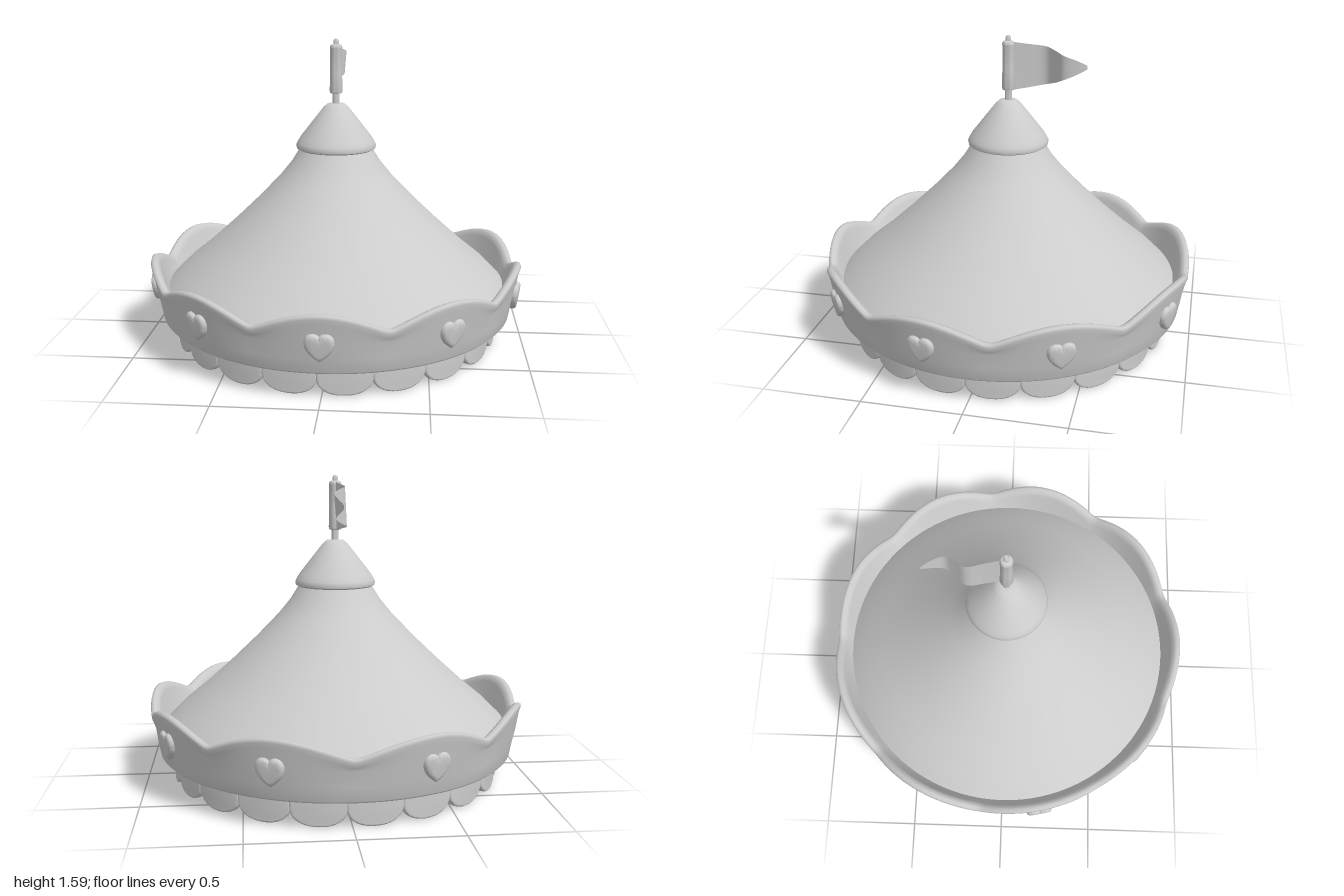
import * as THREE from 'three';
import { toCreasedNormals } from 'three/addons/utils/BufferGeometryUtils.js';

const plaster = new THREE.MeshStandardMaterial({ color: 0xcccccc, side: THREE.DoubleSide });
plaster.name = 'light grey plaster';

function add(parent, name, geometry) {
  const mesh = new THREE.Mesh(geometry, plaster);
  mesh.name = name;
  parent.add(mesh);
  return mesh;
}

const rad = THREE.MathUtils.degToRad;

// Smooth surface of revolution from [radius, height] pairs, bottom to top
function lathe(points, segments = 96, crease = 0.7) {
  const profile = points.map(([r, y]) => new THREE.Vector2(r, y));
  return toCreasedNormals(new THREE.LatheGeometry(profile, segments), crease);
}

// Flaring crown band whose top edge waves up and down in nine arcs
const peaks = [0, 38.5, 77.5, 117, 157, 203, 243, 282.5, 321.5, 360];
function bandGeometry() {
  const columns = 270, position = [], index = [];
  let count = 0;
  for (let i = 0; i < columns; i++) {
    const deg = (i / columns) * 360;
    const k = peaks.findIndex((p) => p > deg) - 1;
    const t = (deg - peaks[k]) / (peaks[k + 1] - peaks[k]);
    const arch = Math.sqrt(Math.cos(Math.PI * t) ** 2 + 0.008);
    const h = 0.362 + 0.095 * arch;
    const out = 0.016 * (arch - 0.6);
    const section = [
      [0.84, 0.165], [0.905, 0.152], [0.92, 0.15], [0.932, 0.162], [0.945, 0.23],
      [0.96 + out * 0.6, 0.31], [0.973 + out, h - 0.045], [0.982 + out, h - 0.02],
      [0.978 + out, h - 0.004], [0.962 + out, h], [0.943 + out, h - 0.008],
      [0.93 + out, h - 0.035], [0.9, 0.3], [0.87, 0.24],
    ];
    count = section.length;
    const a = rad(deg);
    for (const [r, y] of section) position.push(r * Math.sin(a), y, r * Math.cos(a));
    const next = (i + 1) % columns;
    for (let j = 0; j < count; j++) {
      const j2 = (j + 1) % count;
      const a0 = i * count + j, a1 = i * count + j2;
      const b0 = next * count + j, b1 = next * count + j2;
      index.push(a0, b0, b1, a0, b1, a1);
    }
  }
  const g = new THREE.BufferGeometry();
  g.setAttribute('position', new THREE.Float32BufferAttribute(position, 3));
  g.setIndex(index);
  g.computeVertexNormals();
  return g;
}

// Puffy heart, centred, facing +z
function heartGeometry() {
  const s = new THREE.Shape();
  s.moveTo(0, -0.062);
  s.bezierCurveTo(-0.025, -0.045, -0.06, -0.015, -0.06, 0.02);
  s.bezierCurveTo(-0.06, 0.065, -0.012, 0.068, 0, 0.035);
  s.bezierCurveTo(0.012, 0.068, 0.06, 0.065, 0.06, 0.02);
  s.bezierCurveTo(0.06, -0.015, 0.025, -0.045, 0, -0.062);
  const g = new THREE.ExtrudeGeometry(s, {
    depth: 0.015, bevelEnabled: true, bevelThickness: 0.02, bevelSize: 0.022,
    bevelOffset: -0.012, bevelSegments: 5, curveSegments: 10,
  });
  return toCreasedNormals(g, 0.8);
}

// Hanging tab with a rounded lower edge, bent around the ring
const ringRadius = 0.835;
function tabGeometry() {
  const s = new THREE.Shape();
  const w = 0.128;
  s.moveTo(-w, 0.2);
  s.lineTo(-w, 0.105);
  s.bezierCurveTo(-w, 0.045, -0.075, 0.019, 0, 0.019);
  s.bezierCurveTo(0.075, 0.019, w, 0.045, w, 0.105);
  s.lineTo(w, 0.2);
  s.closePath();
  const g = new THREE.ExtrudeGeometry(s, {
    depth: 0.014, bevelEnabled: true, bevelThickness: 0.01, bevelSize: 0.009,
    bevelSegments: 3, curveSegments: 12,
  });
  const p = g.attributes.position;
  for (let i = 0; i < p.count; i++) {
    const x = p.getX(i);
    p.setZ(i, p.getZ(i) + Math.sqrt(ringRadius ** 2 - x * x));
  }
  return toCreasedNormals(g, 0.7);
}

// Ceiling disc gathered into radial folds
function ceilingGeometry() {
  const g = new THREE.RingGeometry(0.002, 0.87, 180, 8);
  g.rotateX(Math.PI / 2);
  const p = g.attributes.position;
  for (let i = 0; i < p.count; i++) {
    const x = p.getX(i), z = p.getZ(i);
    const r = Math.hypot(x, z), a = Math.atan2(x, z);
    const fold = Math.sin(9 * a + 1) + 0.8 * Math.sin(17 * a) + 0.6 * Math.sin(31 * a + 2);
    p.setY(i, 0.205 + 0.02 * fold * Math.sin((Math.PI * r) / 0.9));
  }
  return toCreasedNormals(g, 0.4);
}

// Pennant: tapering sheet that ripples sideways as it trails backwards
function flagGeometry() {
  const g = new THREE.PlaneGeometry(1, 1, 28, 8);
  const path = new THREE.CatmullRomCurve3([
    [0, -0.02], [-0.018, -0.1], [-0.036, -0.19], [0, -0.245],
    [0.028, -0.29], [0.018, -0.35], [-0.004, -0.405],
  ].map(([x, z]) => new THREE.Vector3(x, 0, z)));
  const p = g.attributes.position;
  for (let i = 0; i < p.count; i++) {
    const t = p.getX(i) + 0.5, v = p.getY(i) + 0.5;
    const c = path.getPoint(t);
    const top = 1.56 - 0.06 * t - 0.045 * t ** 3;
    const bottom = 1.31 + 0.07 * t + 0.055 * t ** 2;
    p.setXYZ(i, c.x + 0.012 * (v - 0.5) * Math.sin(Math.PI * t), bottom + (top - bottom) * v, c.z);
  }
  g.computeVertexNormals();
  return g;
}

export function createModel() {
  const model = new THREE.Group();
  model.name = 'tentCanopy';

  // Roof and its cap
  add(model, 'roof', lathe([
    [0.87, 0.25], [0.895, 0.31], [0.81, 0.395], [0.7, 0.485], [0.55, 0.62],
    [0.42, 0.745], [0.3, 0.87], [0.235, 0.95], [0.18, 1.04],
  ], 128));
  add(model, 'roofCap', lathe([
    [0.17, 1.025], [0.195, 1.018], [0.208, 1.025], [0.211, 1.04], [0.204, 1.055],
    [0.19, 1.08], [0.12, 1.17], [0.065, 1.24], [0.045, 1.257], [0.015, 1.26], [0, 1.26],
  ], 64));

  // Crown band with hearts
  add(model, 'crownBand', bandGeometry());
  const hearts = new THREE.Group();
  hearts.name = 'hearts';
  model.add(hearts);
  const heart = heartGeometry();
  peaks.slice(0, 9).forEach((deg, i) => {
    if (i === 6) return; // one arc is left plain
    const a = rad(deg);
    const mesh = add(hearts, 'heart', heart);
    mesh.position.set(0.95 * Math.sin(a), 0.3, 0.95 * Math.cos(a));
    mesh.rotation.set(0.12, a, 0, 'YXZ');
  });

  // Ring of hanging tabs
  const tabs = new THREE.Group();
  tabs.name = 'hangingTabs';
  model.add(tabs);
  const tab = tabGeometry();
  for (let i = 0; i < 20; i++) {
    add(tabs, 'hangingTab', tab).rotation.y = rad(7.3 + i * 18);
  }

  // Ceiling under the roof
  add(model, 'ceiling', ceilingGeometry());

  // Pole, sleeve, finial and pennant
  add(model, 'flagPole', lathe([
    [0.018, 1.24], [0.018, 1.31], [0.031, 1.313], [0.034, 1.325], [0.031, 1.42],
    [0.031, 1.54], [0.033, 1.55], [0.027, 1.562], [0.014, 1.567], [0.014, 1.582],
    [0.009, 1.592], [0, 1.595],
  ], 24));
  add(model, 'pennant', flagGeometry());

  // Stand the model on the ground plane
  model.updateMatrixWorld(true);
  model.position.y = -new THREE.Box3().setFromObject(model, true).min.y;
  return model;
}
